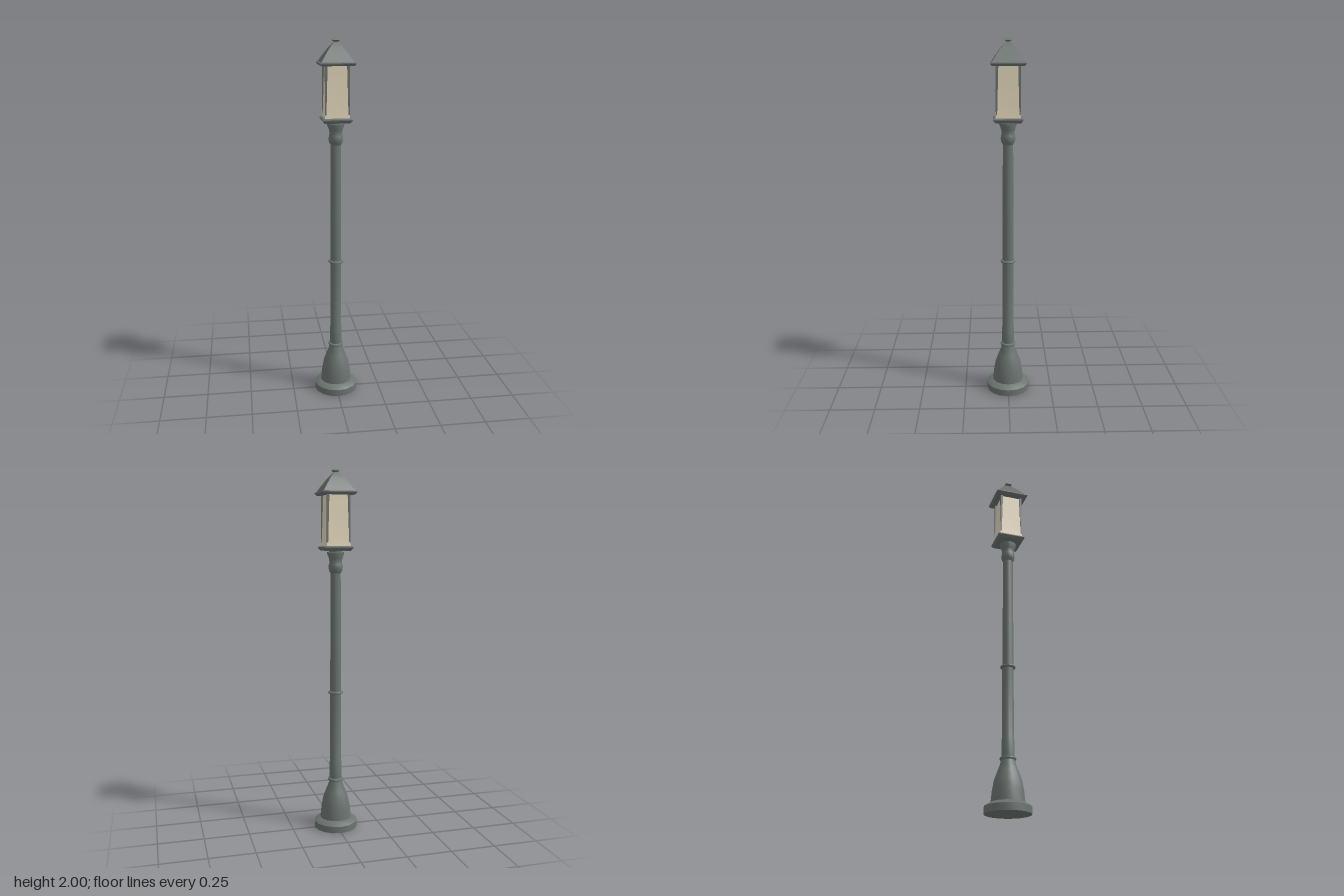
import * as THREE from 'three';
import { toCreasedNormals } from 'three/addons/utils/BufferGeometryUtils.js';

const metal = new THREE.MeshStandardMaterial({ color: 0x6b7370 });
metal.name = 'grey green metal';
const glass = new THREE.MeshStandardMaterial({ color: 0xe0d4b8 });
glass.name = 'cream glass';

// Profile of [radius or half-width, height] pairs, from bottom to top
function turned(name, profile, material = metal, square = false) {
  const k = square ? Math.SQRT2 : 1;
  const points = profile.map(([r, y]) => new THREE.Vector2(r * k, y));
  const geometry = new THREE.LatheGeometry(points, square ? 4 : 16, square ? Math.PI / 4 : 0);
  const mesh = new THREE.Mesh(toCreasedNormals(geometry, 0.6), material);
  mesh.name = name;
  return mesh;
}

const squared = (name, profile, material) => turned(name, profile, material, true);

// Rounded ring around the post
function collar(name, y, r) {
  return turned(name, [[r - 0.012, y - 0.008], [r - 0.002, y - 0.005], [r, y],
    [r - 0.002, y + 0.005], [r - 0.012, y + 0.008]]);
}

// Corner bar that keeps its outer corner while narrowing downward
function cornerBar(sx, sz) {
  const geometry = new THREE.BoxGeometry(1, 0.29, 1);
  const p = geometry.attributes.position;
  for (let i = 0; i < p.count; i++) {
    const w = p.getY(i) > 0 ? 0.014 : 0.006;
    p.setX(i, sx * 0.065 + (p.getX(i) - sx * 0.5) * w);
    p.setZ(i, sz * 0.065 + (p.getZ(i) - sz * 0.5) * w);
  }
  geometry.computeVertexNormals();
  const mesh = new THREE.Mesh(geometry, metal);
  mesh.name = 'cornerBar';
  mesh.position.y = 1.73;
  return mesh;
}

export function createModel() {
  const lamp = new THREE.Group();
  lamp.name = 'streetLamp';

  // Foot and bell-shaped pedestal
  lamp.add(turned('foot', [[0, 0], [0.122, 0], [0.122, 0.037], [0.09, 0.057], [0, 0.057]]));
  lamp.add(turned('pedestal', [[0.088, 0.055], [0.082, 0.115], [0.072, 0.17],
    [0.055, 0.215], [0.041, 0.25], [0.035, 0.28]]));

  // Post with its rings
  lamp.add(turned('post', [[0.034, 0.27], [0.034, 0.38], [0.031, 0.39], [0.031, 0.78], [0.028, 1.46]]));
  lamp.add(collar('lowerCollar', 0.28, 0.044));
  lamp.add(collar('middleCollar', 0.784, 0.042));

  // Rounded knop and flared capital
  lamp.add(turned('capital', [[0.028, 1.445], [0.036, 1.46], [0.04, 1.478], [0.037, 1.495],
    [0.034, 1.505], [0.037, 1.527], [0.047, 1.552], [0.047, 1.56], [0.036, 1.562], [0.036, 1.575]]));

  // Lantern
  const lantern = new THREE.Group();
  lantern.name = 'lantern';
  lantern.add(squared('lanternTray', [[0, 1.568], [0.068, 1.568], [0.079, 1.582], [0.079, 1.588],
    [0.068, 1.594], [0, 1.594]]));
  lantern.add(squared('lanternGlass', [[0.067, 1.592], [0.062, 1.64], [0.055, 1.868]], glass));
  for (const sx of [-1, 1]) for (const sz of [-1, 1]) lantern.add(cornerBar(sx, sz));

  // Hipped roof and finial
  lantern.add(squared('roof', [[0, 1.863], [0.085, 1.863], [0.094, 1.873], [0.094, 1.878],
    [0.086, 1.881], [0.066, 1.911], [0.04, 1.948], [0.022, 1.969], [0.008, 1.982]]));
  lantern.add(squared('finial', [[0.008, 1.978], [0.009, 1.982], [0.019, 1.99], [0.015, 1.995], [0, 2]]));
  lamp.add(lantern);

  return lamp;
}
